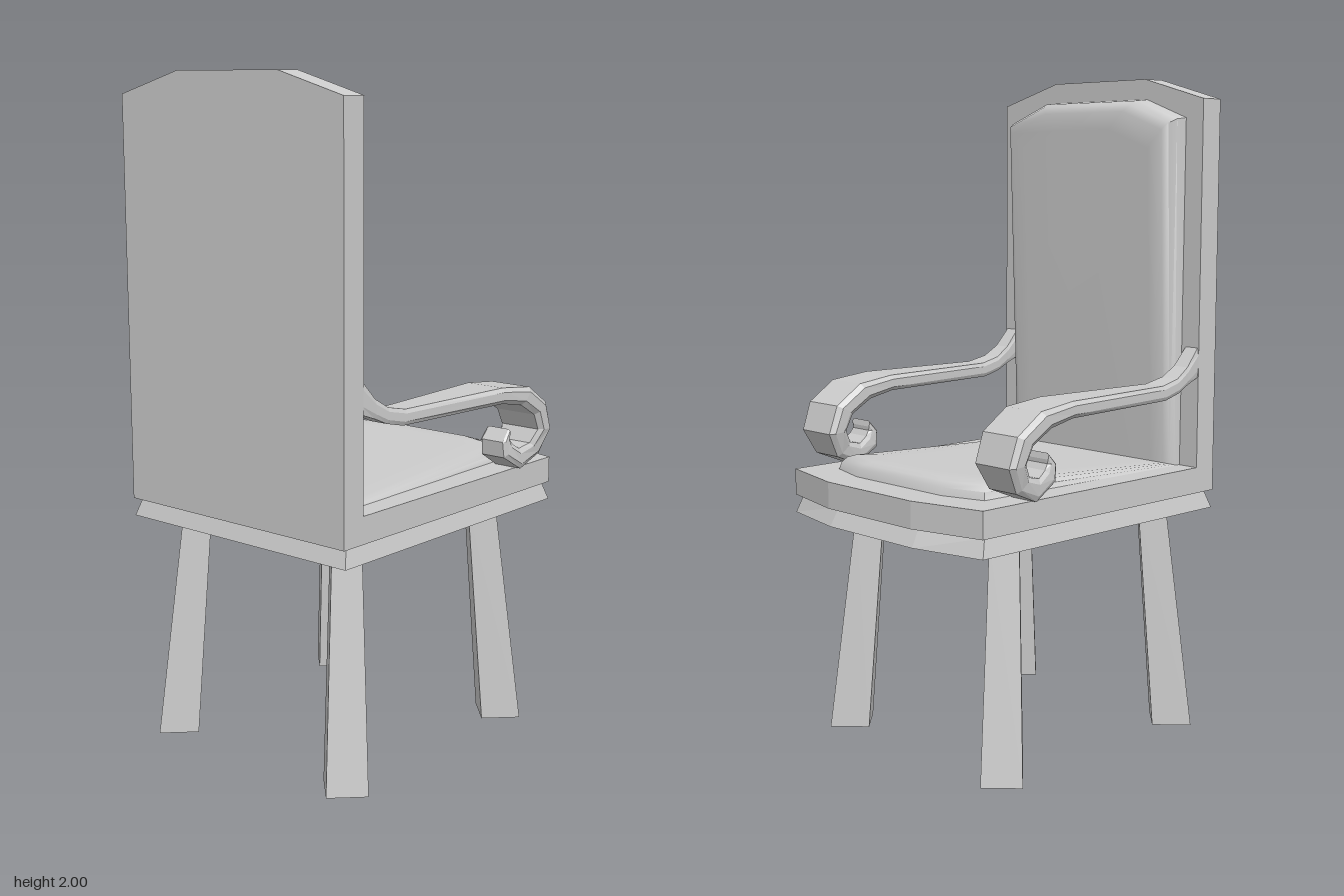
import * as THREE from 'three';
import { toCreasedNormals } from 'three/addons/utils/BufferGeometryUtils.js';

const material = new THREE.MeshStandardMaterial({ color: 0xcccccc });

// Closed solid through rings of [x, y, z] points, with convex end caps.
function loft(name, rings, crease = 0) {
  const pos = [];
  let volume = 0;
  const A = new THREE.Vector3(), B = new THREE.Vector3(), C = new THREE.Vector3();
  const tri = (a, b, c) => {
    pos.push(...a, ...b, ...c);
    volume += A.fromArray(a).dot(B.fromArray(b).cross(C.fromArray(c)));
  };
  const n = rings[0].length;
  for (let i = 0; i < rings.length - 1; i++) {
    for (let j = 0; j < n; j++) {
      const k = (j + 1) % n, r = rings[i], s = rings[i + 1];
      tri(r[j], r[k], s[k]);
      tri(r[j], s[k], s[j]);
    }
  }
  const first = rings[0], last = rings[rings.length - 1];
  for (let j = 1; j < n - 1; j++) {
    tri(first[0], first[j + 1], first[j]);
    tri(last[0], last[j], last[j + 1]);
  }
  // Turn the faces outward when the rings run the other way.
  if (volume < 0) {
    for (let i = 0; i < pos.length; i += 9) {
      for (let k = 3; k < 6; k++) [pos[i + k], pos[i + k + 3]] = [pos[i + k + 3], pos[i + k]];
    }
  }
  let geometry = new THREE.BufferGeometry();
  geometry.setAttribute('position', new THREE.Float32BufferAttribute(pos, 3));
  geometry.computeVertexNormals();
  if (crease) geometry = toCreasedNormals(geometry, crease);
  const mesh = new THREE.Mesh(geometry, material);
  mesh.name = name;
  return mesh;
}

// Mirrors half an outline [u, z] to both sides of z = 0.
const mirrored = (half) => [...half, ...half.map(([u, z]) => [u, -z]).reverse()];

export function createModel() {
  const chair = new THREE.Group();
  chair.name = 'armchair';

  // Seat board and the flared apron under it
  const plan = (y, back, corner, front, side, mid) =>
    mirrored([[back, side], [corner, side], [front, mid]]).map(([x, z]) => [x, y, z]);
  chair.add(loft('seatBoard', [
    plan(0.74, -0.52, 0.46, 0.515, 0.42, 0.185),
    plan(0.82, -0.52, 0.46, 0.515, 0.42, 0.185),
  ]));
  chair.add(loft('seatApron', [
    plan(0.685, -0.515, 0.46, 0.51, 0.42, 0.185),
    plan(0.74, -0.495, 0.44, 0.48, 0.405, 0.18),
  ]));

  // Back board with clipped top corners
  const backOutline = mirrored([[0.82, 0.42], [1.935, 0.42], [2, 0.19]]);
  chair.add(loft('backBoard', [-0.52, -0.44].map((x) => backOutline.map(([y, z]) => [x, y, z]))));

  // Back cushion, thicker towards the top
  const backCushion = [[0, 0], [0.5, 0.004], [0.85, 0.016], [1, 0.036], [1.02, 0.09]].map(([depth, inset]) =>
    mirrored([[0.82, 0.352], [1.88 - inset, 0.355], [1.938 - inset, 0.2]]).map(([y, z]) => {
      const thickness = 0.035 + 0.04 * (y - 0.82) / 1.08;
      return [-0.44 + thickness * depth, y, z - Math.sign(z) * inset];
    }));
  chair.add(loft('backCushion', backCushion, 1));

  // Seat cushion, rising towards the front
  const seatCushion = [[0, 0], [0.5, 0.006], [0.85, 0.018], [1, 0.036], [1.02, 0.09]].map(([height, inset]) =>
    mirrored([[-0.44, 0.352], [0.365 - inset, 0.325], [0.405 - inset, 0.19]]).map(([x, z]) => {
      const thickness = 0.004 + 0.04 * Math.min(1, (x + 0.44) / 0.68);
      return [x, 0.82 + thickness * height, z - Math.sign(z) * inset];
    }));
  chair.add(loft('seatCushion', seatCushion, 1));

  // Scrolled arms: outer x, y, inner x, y and half width at each station
  const stations = [
    [-0.445, 1.195, -0.445, 1.10, 0.027],
    [-0.39, 1.135, -0.39, 1.08, 0.031],
    [-0.34, 1.105, -0.345, 1.06, 0.036],
    [-0.27, 1.09, -0.28, 1.045, 0.041],
    [0.15, 1.09, 0.15, 1.042, 0.074],
    [0.28, 1.075, 0.24, 1.025, 0.08],
    [0.37, 1.015, 0.31, 0.985, 0.08],
    [0.40, 0.93, 0.335, 0.935, 0.078],
    [0.36, 0.855, 0.31, 0.895, 0.063],
    [0.275, 0.82, 0.265, 0.885, 0.054],
    [0.195, 0.867, 0.237, 0.903, 0.048],
    [0.19, 0.915, 0.225, 0.92, 0.045],
    [0.222, 0.95, 0.226, 0.932, 0.042],
  ];
  const section = mirrored([[0, 0.85], [0.25, 1], [0.75, 1], [1, 0.85]]);
  for (const side of [1, -1]) {
    chair.add(loft(side > 0 ? 'leftArm' : 'rightArm', stations.map(([ox, oy, ix, iy, w]) =>
      section.map(([t, z]) => [ox + (ix - ox) * t, oy + (iy - oy) * t, side * 0.392 + z * w]))));
  }

  // Splayed square legs set cornerwise
  const diamond = (x, y, z, r) => [[x + r, y, z], [x, y, z + r], [x - r, y, z], [x, y, z - r]];
  for (const side of [1, -1]) {
    for (const [name, footX, topX] of [['frontLeg', 0.315, 0.262], ['backLeg', -0.425, -0.372]]) {
      chair.add(loft(name, [
        diamond(footX, 0, side * 0.343, 0.085),
        diamond(topX, 0.69, side * 0.298, 0.06),
      ]));
    }
  }
  return chair;
}
